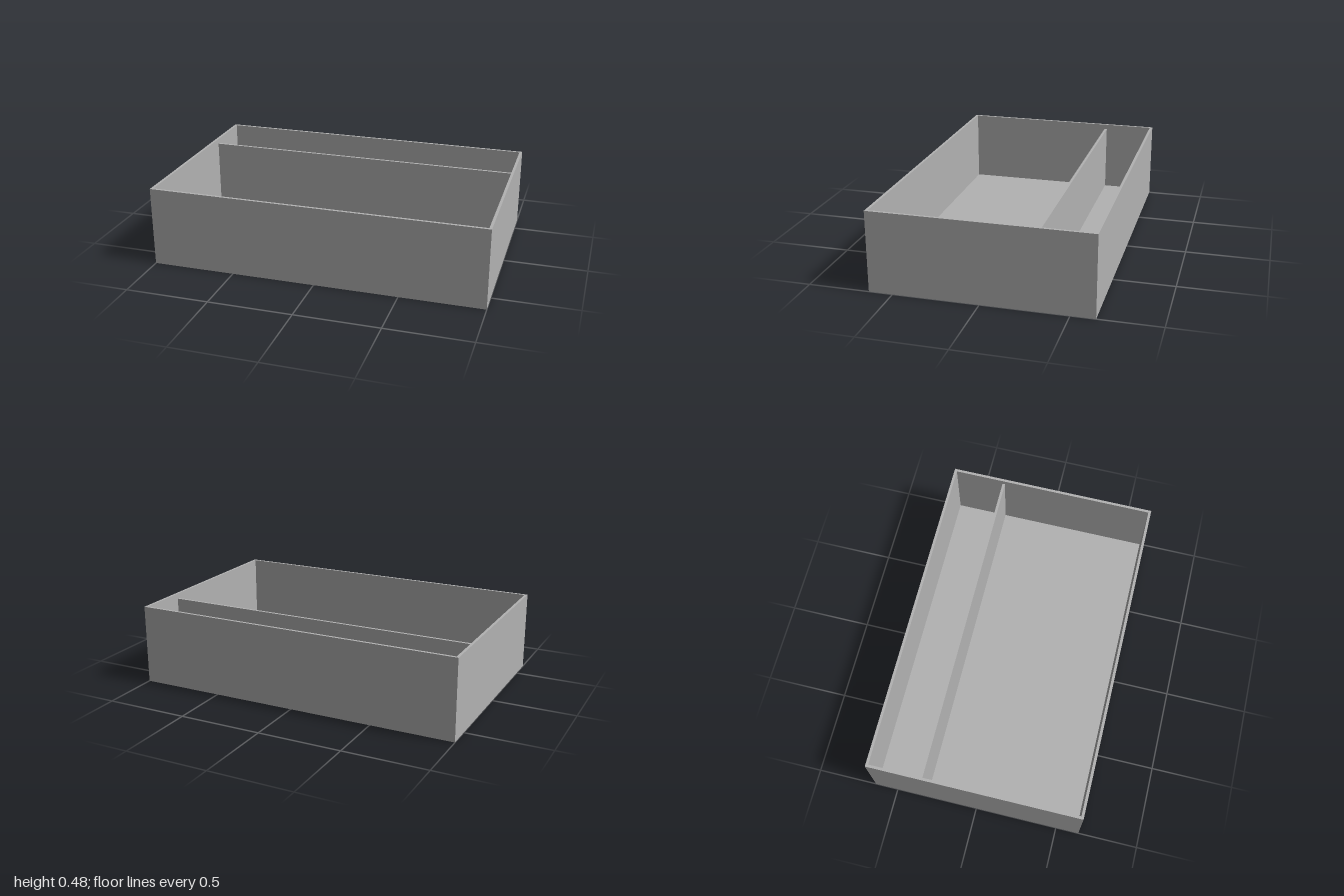
import * as THREE from 'three';

const W = 2, H = 0.48, D = 1.28; // outer size
const WALL = 0.016, FLOOR = 0.03;
const DIVIDER_TOP = 0.448, DIVIDER_Z = -0.315;

// Rectangle centred on the origin, as a shape or a hole
function rectangle(PathType, w, d) {
  return new PathType([
    new THREE.Vector2(-w / 2, -d / 2),
    new THREE.Vector2(w / 2, -d / 2),
    new THREE.Vector2(w / 2, d / 2),
    new THREE.Vector2(-w / 2, d / 2),
  ]);
}

export function createModel() {
  const tray = new THREE.Group();
  tray.name = 'dividedTray';
  const grey = new THREE.MeshStandardMaterial({ color: 0xb2b2b2 });
  grey.name = 'grey';

  const add = (name, geometry, x, y, z) => {
    const mesh = new THREE.Mesh(geometry, grey);
    mesh.name = name;
    mesh.position.set(x, y, z);
    tray.add(mesh);
  };

  // Four walls as one open frame
  const frame = rectangle(THREE.Shape, W, D);
  frame.holes.push(rectangle(THREE.Path, W - 2 * WALL, D - 2 * WALL));
  const walls = new THREE.ExtrudeGeometry(frame, { depth: H, bevelEnabled: false });
  walls.rotateX(-Math.PI / 2);
  add('walls', walls, 0, 0, 0);

  // Floor fitted inside the walls
  const innerW = W - 2 * WALL;
  add('floor', new THREE.BoxGeometry(innerW, FLOOR, D - 2 * WALL), 0, FLOOR / 2, 0);

  // Divider, a little lower than the rim
  const dividerH = DIVIDER_TOP - FLOOR;
  add('divider', new THREE.BoxGeometry(innerW, dividerH, WALL), 0, FLOOR + dividerH / 2, DIVIDER_Z);

  return tray;
}
